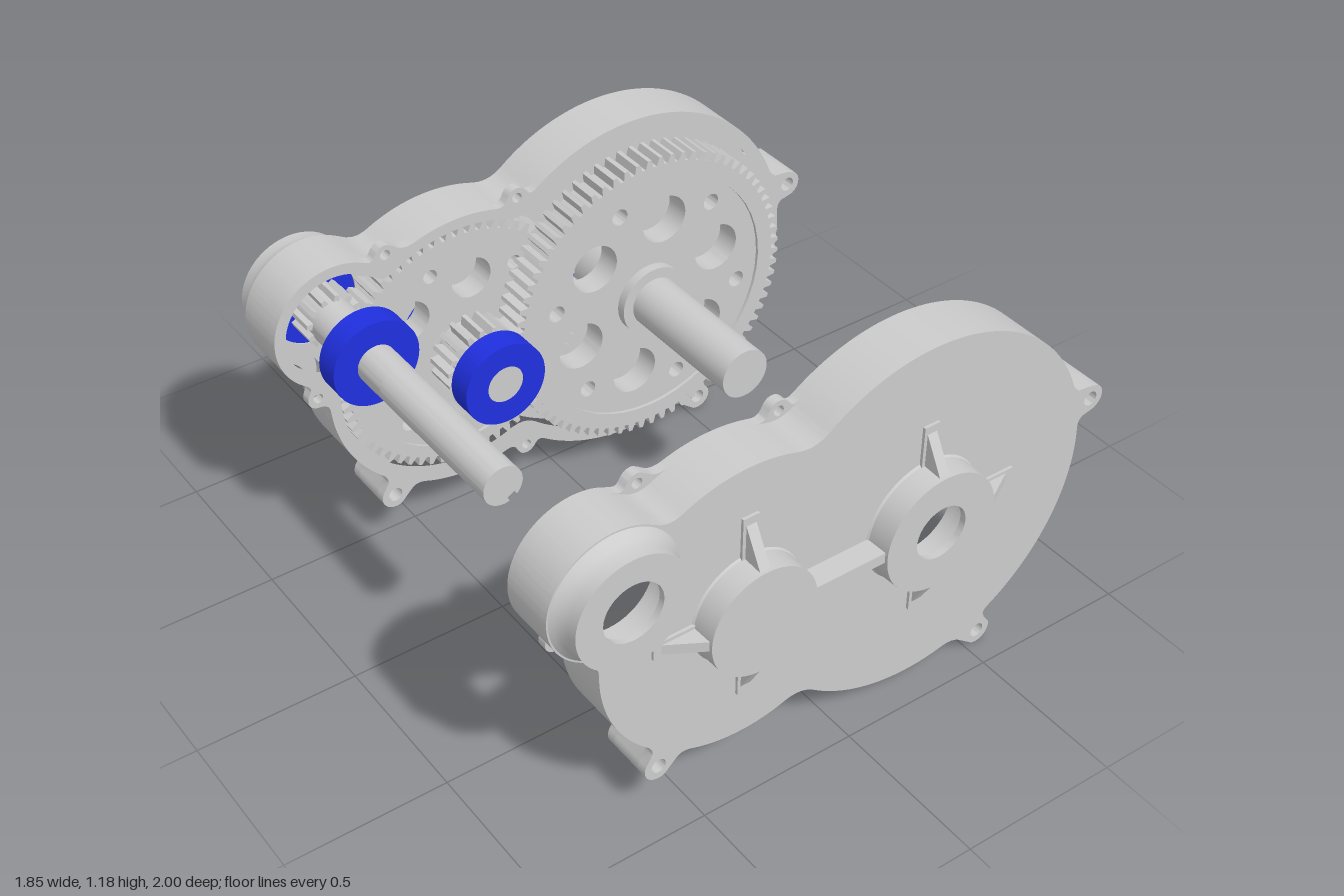
import * as THREE from 'three';
import { toCreasedNormals } from 'three/addons/utils/BufferGeometryUtils.js';

const grey = new THREE.MeshStandardMaterial({ color: 0xcccccc });
const blue = new THREE.MeshStandardMaterial({ color: 0x2030e0 });

// Axle centres in the front plane with the housing radius around each
const INPUT = { x: -0.73, y: 0.865, r: 0.2 };
const MIDDLE = { x: -0.32, y: 0.61, r: 0.46 };
const OUTPUT = { x: 0.275, y: 0.61, r: 0.57 };
const AXLES = [INPUT, MIDDLE, OUTPUT];
const BIG_LUGS = [[0.88, 0.74], [0.54, 0.045], [-0.595, 0.18]].map(([x, y]) => ({ x, y, r: 0.045, hole: 0.023 }));
const SMALL_LUGS = [[-0.565, 1.04], [-0.125, 1.065], [-0.125, 0.155], [-0.815, 0.645]]
  .map(([x, y]) => ({ x, y, r: 0.032, hole: 0.016 }));
const CORE = { x: -0.2, y: 0.7 };
const SEAT = 0.135;

function add(parent, name, geometry, material = grey, x = 0, y = 0, z = 0) {
  const mesh = new THREE.Mesh(geometry, material);
  mesh.name = name;
  mesh.position.set(x, y, z);
  parent.add(mesh);
  return mesh;
}

function extrude(shape, depth, crease = 0.5) {
  const g = new THREE.ExtrudeGeometry(shape, { depth, bevelEnabled: false, curveSegments: 24 });
  return toCreasedNormals(g, crease);
}

function circlePath(x, y, r) {
  return new THREE.Path().absarc(x, y, r, 0, Math.PI * 2, false);
}

// Lathe around the z axis from [radius, z] pairs
function turned(profile, segments = 64) {
  const g = new THREE.LatheGeometry(profile.map(([r, z]) => new THREE.Vector2(r, z)), segments);
  return toCreasedNormals(g.rotateX(Math.PI / 2), 0.6);
}

function rod(r, z0, z1) {
  return turned([[0, z0], [r, z0], [r, z1], [0, z1]], 48);
}

function ring(rIn, rOut, z0, z1) {
  return turned([[rIn, z0], [rOut, z0], [rOut, z1], [rIn, z1], [rIn, z0]]);
}

// Filleted union of the axle circles and lugs, traced inwards along rays
function outline(sx, lugs, inset = 0, n = 640) {
  const smin = (a, b, k) => {
    const h = Math.max(k - Math.abs(a - b), 0) / k;
    return Math.min(a, b) - h * h * k / 4;
  };
  const distance = (x, y) => {
    let d = 10;
    for (const c of AXLES) d = smin(d, Math.hypot(x - c.x, y - c.y) - c.r, 0.06);
    for (const l of lugs) {
      const dx = CORE.x - l.x, dy = CORE.y - l.y, len = Math.hypot(dx, dy);
      const t = THREE.MathUtils.clamp(((x - l.x) * dx + (y - l.y) * dy) / len, 0, 0.08) / len;
      d = smin(d, Math.hypot(x - l.x - dx * t, y - l.y - dy * t) - l.r, 0.04);
    }
    return d + inset;
  };
  const points = [];
  for (let i = 0; i < n; i++) {
    const a = i / n * Math.PI * 2, c = Math.cos(a), s = Math.sin(a);
    let t = 1.5;
    for (let k = 0; k < 150; k++) {
      const d = distance(CORE.x + c * t, CORE.y + s * t);
      if (d < 1e-4) break;
      t -= d * 0.8;
    }
    points.push(new THREE.Vector2(sx * (CORE.x + c * t), CORE.y + s * t));
  }
  return points;
}

// Half housing: open rim at z = 0, outer face at 0.17, bosses up to 0.25
function cover(name, sx, holes) {
  const g = new THREE.Group();
  g.name = name;
  const slab = (part, lugs, z0, z1, cutouts) => {
    const shape = new THREE.Shape(outline(sx, lugs));
    shape.holes.push(...cutouts, ...lugs.map(l => circlePath(sx * l.x, l.y, l.hole)));
    add(g, part, extrude(shape, z1 - z0), grey, 0, 0, z0);
  };
  const cavity = new THREE.Path(outline(sx, [], 0.035));
  slab('rimFlange', [...BIG_LUGS, ...SMALL_LUGS], 0, 0.03, [cavity]);
  slab('sideWall', BIG_LUGS, 0.03, 0.14, [cavity]);
  slab('coverPlate', BIG_LUGS, 0.14, 0.17, AXLES.map(a => circlePath(sx * a.x, a.y, SEAT)));

  // Bearing bosses with hollow seats
  const sides = [
    [[0.2, 0.165], [0.187, 0.178], [0.176, 0.195], [0.17, 0.22], [0.17, 0.25]],
    [[0.18, 0.165], [0.172, 0.176], [0.17, 0.25]],
    [[0.2, 0.165], [0.191, 0.176], [0.188, 0.25]],
  ];
  AXLES.forEach((a, i) => add(g, ['inputBoss', 'middleBoss', 'outputBoss'][i], turned([
    ...sides[i], [holes[i], 0.25], [holes[i], 0.23], [SEAT, 0.23], [SEAT, 0.168],
  ]), grey, sx * a.x, a.y));

  // Sloped ribs around the bosses and the bar joining them
  const rib = (a, angle, inner, reach) => {
    const side = new THREE.Shape([[inner, 0.165], [reach, 0.165], [inner + 0.005, 0.24]]
      .map(p => new THREE.Vector2(...p)));
    const geo = extrude(side, 0.032).translate(0, 0, -0.016).rotateX(Math.PI / 2).rotateZ(angle);
    add(g, 'rib', geo, grey, sx * a.x, a.y);
    const foot = new THREE.BoxGeometry(reach - inner, 0.052, 0.014).translate((inner + reach) / 2, 0, 0.172);
    add(g, 'ribFoot', foot.rotateZ(angle), grey, sx * a.x, a.y);
  };
  const outward = sx > 0 ? 0 : Math.PI;
  for (const up of [1, -1]) {
    rib(MIDDLE, up * Math.PI / 2, 0.165, 0.305);
    rib(OUTPUT, up * Math.PI / 2, 0.183, 0.32);
  }
  rib(MIDDLE, Math.PI - outward, 0.165, 0.3);
  rib(OUTPUT, outward, 0.183, 0.32);
  add(g, 'joiningRib', new THREE.BoxGeometry(0.26, 0.034, 0.075), grey, sx * -0.035, 0.61, 0.2025);
  return g;
}

// Spur gear from z = 0 to depth, with optional cut-outs
function gear(teeth, rOut, rRoot, depth, holes) {
  const pts = [];
  for (let i = 0; i < teeth; i++) {
    for (const [f, r] of [[0, rRoot], [0.3, rRoot], [0.5, rOut], [0.8, rOut]]) {
      const a = (i + f) / teeth * Math.PI * 2;
      pts.push(new THREE.Vector2(Math.cos(a) * r, Math.sin(a) * r));
    }
  }
  const shape = new THREE.Shape(pts);
  shape.holes.push(...holes);
  return extrude(shape, depth, 0.4);
}

// Large wheel: toothed rim plus a slightly thinner pierced web
function wheel(parent, name, axle, teeth, rOut, z, depth) {
  const g = new THREE.Group();
  g.name = name;
  g.position.set(axle.x, axle.y, z);
  const rim = rOut * 0.84;
  add(g, 'toothedRim', gear(teeth, rOut, rOut - 0.027, depth, [circlePath(0, 0, rim)]));
  const web = new THREE.Shape().absarc(0, 0, rim + 0.005, 0, Math.PI * 2, false);
  for (let i = 0; i < 6; i++) {
    const a = (i + 0.3) * Math.PI / 3, b = a + Math.PI / 6;
    web.holes.push(circlePath(Math.cos(a) * rOut * 0.54, Math.sin(a) * rOut * 0.54, rOut * 0.16));
    web.holes.push(circlePath(Math.cos(b) * rOut * 0.7, Math.sin(b) * rOut * 0.7, rOut * 0.055));
  }
  add(g, 'piercedWeb', extrude(web, depth - 0.02), grey, 0, 0, 0.01);
  parent.add(g);
}

function bearing(parent, name, axle, rIn, z0, z1) {
  add(parent, name, ring(rIn, 0.135, z0, z1), blue, axle.x, axle.y);
}

export function createModel() {
  const model = new THREE.Group();
  model.name = 'gearbox';

  const front = cover('frontCover', 1, [0.09, 0, 0.085]);
  front.position.z = 0.75;
  const back = cover('backCover', -1, [0, 0, 0.09]);
  back.rotation.y = Math.PI;
  back.position.z = -0.435;
  model.add(front, back);

  // Input shaft with a keyway along its free end
  const key = -Math.PI / 3, r = 0.06;
  const keyed = new THREE.Shape().absarc(0, 0, r, key + 0.22, key - 0.22 + Math.PI * 2, false);
  for (const a of [key - 0.28, key + 0.28]) keyed.lineTo(Math.cos(a) * 0.046, Math.sin(a) * 0.046);
  add(model, 'inputShaftKeyed', extrude(keyed, 0.52), grey, INPUT.x, INPUT.y, -0.1);
  add(model, 'inputShaft', rod(r, -0.66, -0.1), grey, INPUT.x, INPUT.y);
  add(model, 'inputShoulder', rod(0.07, -0.58, -0.3), grey, INPUT.x, INPUT.y);
  add(model, 'inputPinion', gear(12, 0.088, 0.062, 0.1, []), grey, INPUT.x, INPUT.y, -0.555);

  // Middle shaft
  add(model, 'middleShaft', rod(r, -0.66, -0.222), grey, MIDDLE.x, MIDDLE.y);
  add(model, 'middleCollar', rod(0.08, -0.58, -0.3), grey, MIDDLE.x, MIDDLE.y);
  add(model, 'middlePinion', gear(18, 0.128, 0.1, 0.1, []), grey, MIDDLE.x, MIDDLE.y, -0.43);
  wheel(model, 'middleWheel', MIDDLE, 64, 0.415, -0.555, 0.1);

  // Output shaft
  add(model, 'outputShaft', rod(0.08, -1, 0.14), grey, OUTPUT.x, OUTPUT.y);
  add(model, 'outputCollar', rod(0.115, -0.58, -0.31), grey, OUTPUT.x, OUTPUT.y);
  wheel(model, 'outputWheel', OUTPUT, 74, 0.49, -0.43, 0.1);

  // Bearings
  bearing(model, 'inputFrontBearing', INPUT, r, -0.3, -0.22);
  bearing(model, 'middleFrontBearing', MIDDLE, r, -0.3, -0.22);
  bearing(model, 'inputBackBearing', INPUT, r, -0.66, -0.58);
  bearing(model, 'middleBackBearing', MIDDLE, r, -0.66, -0.58);
  bearing(model, 'outputBackBearing', OUTPUT, 0.08, -0.66, -0.58);
  return model;
}
